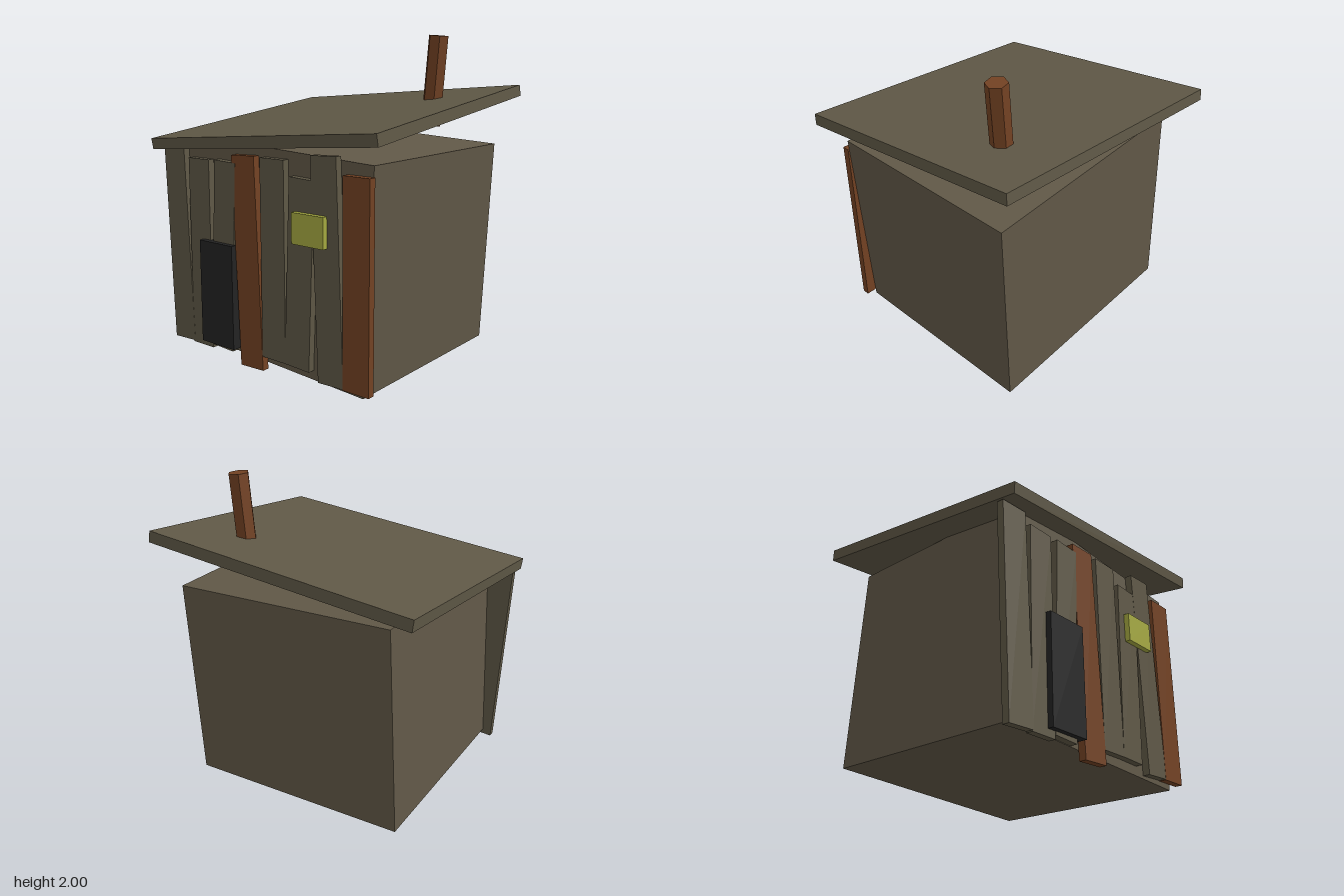
import * as THREE from 'three';

const paint = (name, color) => {
  const m = new THREE.MeshStandardMaterial({ color });
  m.name = name;
  return m;
};

export function createModel() {
  const hut = new THREE.Group();
  hut.name = 'crookedShack';

  const wall = paint('weathered wall', 0x615847);
  const grey = paint('grey timber', 0x5f5846);
  const rust = paint('rusty brown', 0x734223);
  const dark = paint('dark door', 0x232323);
  const glow = paint('window yellow', 0xa6aa41);

  const add = (name, geometry, material, x, y, z) => {
    const mesh = new THREE.Mesh(geometry, material);
    mesh.name = name;
    mesh.position.set(x, y, z);
    hut.add(mesh);
    return mesh;
  };
  const box = (name, material, w, h, d, x, y, z) =>
    add(name, new THREE.BoxGeometry(w, h, d), material, x, y, z);

  // Leaning main room
  box('body', wall, 1.45, 1.3, 1.295, 0.009, 0.704, 0).rotation.z = -0.05;

  // Slab roof, sloping forward and to one side
  box('roof', grey, 1.75, 0.07, 1.573, 0, 1.49, 0).rotation.set(0.12, 0, 0.08, 'ZYX');

  // Six-sided crooked chimney
  const pipe = new THREE.CylinderGeometry(0.065, 0.065, 0.56, 6).toNonIndexed();
  pipe.rotateY(Math.PI / 6 + 0.14);
  pipe.computeVertexNormals();
  add('chimney', pipe, rust, 0.481, 1.715, -0.37).rotation.z = -0.085;

  // Front boards: name, material, centre x, bottom, top, width, tilt, layer
  const boards = [
    ['outerPlank', grey, -0.738, 0.059, 1.3, 0.185, 0.042, 1],
    ['doorPlank', grey, -0.54, 0.055, 1.25, 0.18, 0, 0],
    ['leaningPlank', grey, -0.335, 0.075, 1.252, 0.178, -0.045, 3],
    ['middlePost', rust, -0.133, 0.008, 1.3, 0.185, 0.039, 2],
    ['centrePlank', grey, 0.073, 0.1, 1.3, 0.185, 0, 0],
    ['shortPlank', grey, 0.276, 0.097, 1.208, 0.184, -0.04, 1],
    ['windowPlank', grey, 0.48, 0.055, 1.347, 0.181, 0.039, 2],
    ['cornerPost', rust, 0.681, 0.055, 1.255, 0.18, 0, 3],
  ];
  for (const [name, material, x, bottom, top, width, tilt, layer] of boards) {
    const depth = 0.043 + layer * 0.001;
    box(name, material, width, (top - bottom) / Math.cos(tilt), depth,
      x, (top + bottom) / 2, 0.647 + depth / 2).rotation.z = tilt;
  }

  // Door and lit window standing proud of the boards
  box('door', dark, 0.28, 0.65, 0.07, -0.37, 0.425, 0.69);
  box('window', glow, 0.23, 0.18, 0.07, 0.367, 0.93, 0.69);

  return hut;
}
